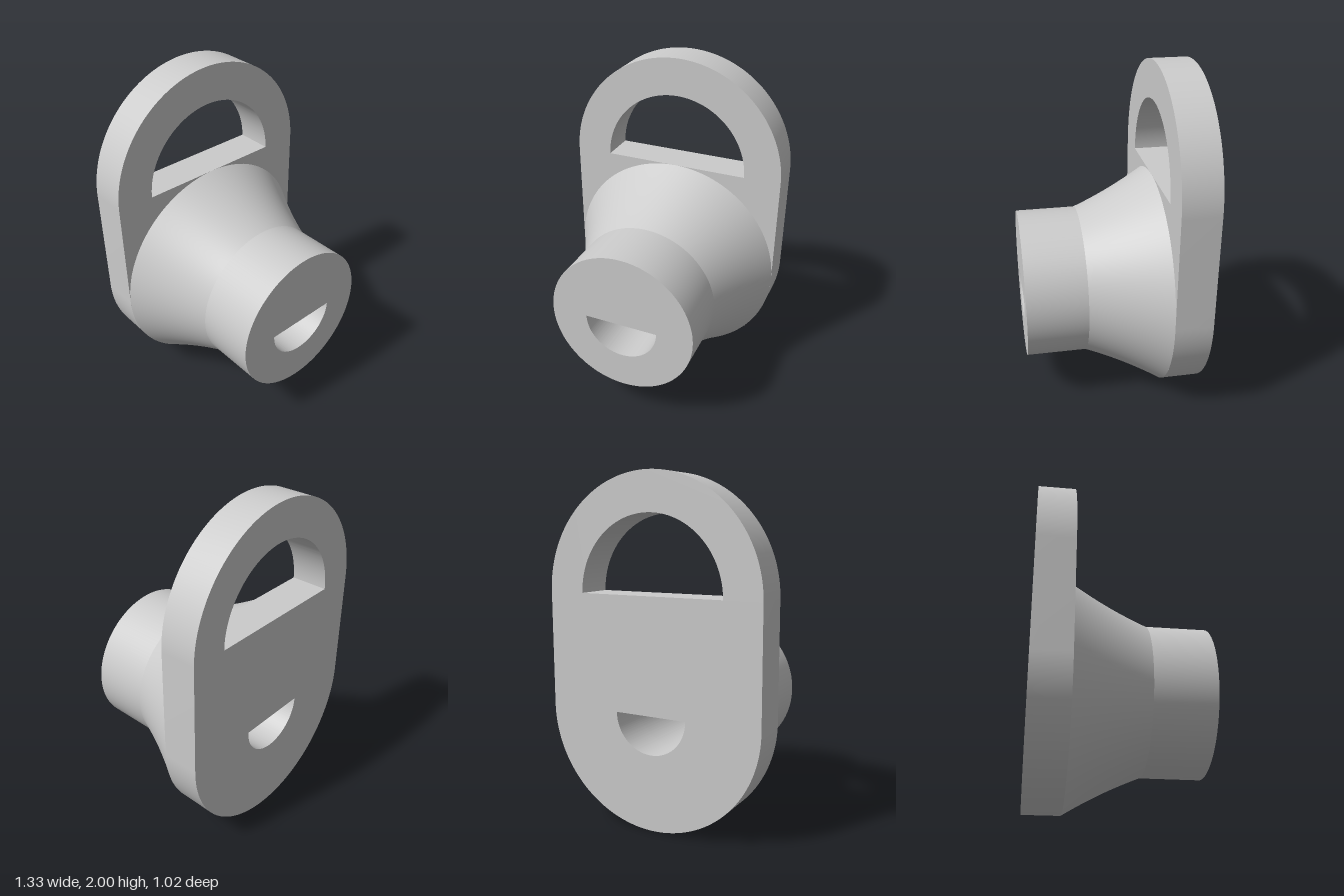
import * as THREE from 'three';
import { toCreasedNormals } from 'three/addons/utils/BufferGeometryUtils.js';

const R = 2 / 3;          // plate end radius, also the flare's wide end
const NECK_R = 4 / 9;
const BORE_R = 2 / 9;
const LOW_Y = R, HIGH_Y = 2 * R;
const BACK = -0.511, PLATE_FRONT = -0.289, NECK_START = 0.156, FRONT = 0.511;

const material = new THREE.MeshStandardMaterial({ color: 0xcccccc });

// Half-disc opening; the flat side lies on y
function halfDisc(y, radius, upper) {
  const path = new THREE.Path();
  const start = upper ? 0 : Math.PI;
  path.absarc(0, y, radius, start, start + Math.PI, false);
  path.closePath();
  return path;
}

// Extrude a shape between two z positions with smooth curves and sharp rims
function slab(name, shape, z0, z1) {
  const extruded = new THREE.ExtrudeGeometry(shape, {
    depth: z1 - z0, bevelEnabled: false, curveSegments: 64,
  });
  const mesh = new THREE.Mesh(toCreasedNormals(extruded, Math.PI / 6), material);
  mesh.name = name;
  mesh.position.z = z0;
  return mesh;
}

export function createModel() {
  const group = new THREE.Group();
  group.name = 'flaredSpoutWithHandle';

  // Back plate: rounded slot outline with handle opening and bore
  const outline = new THREE.Shape();
  outline.absarc(0, HIGH_Y, R, 0, Math.PI, false);
  outline.absarc(0, LOW_Y, R, Math.PI, 2 * Math.PI, false);
  outline.closePath();
  outline.holes.push(halfDisc(HIGH_Y, NECK_R, true), halfDisc(LOW_Y, BORE_R, false));
  group.add(slab('backPlate', outline, BACK, PLATE_FRONT));

  // Neck: round bar carrying the half-round bore through to the plate
  const disc = new THREE.Shape();
  disc.absarc(0, LOW_Y, NECK_R, 0, 2 * Math.PI, false);
  disc.holes.push(halfDisc(LOW_Y, BORE_R, false));
  group.add(slab('neck', disc, PLATE_FRONT, FRONT));

  // Flare: slightly concave transition from plate to neck
  const midZ = (PLATE_FRONT + NECK_START) / 2;
  const profile = new THREE.QuadraticBezierCurve(
    new THREE.Vector2(R, PLATE_FRONT),
    new THREE.Vector2((R + NECK_R) / 2 - 0.026, midZ),
    new THREE.Vector2(NECK_R, NECK_START),
  ).getPoints(16);
  const flare = new THREE.Mesh(new THREE.LatheGeometry(profile, 128), material);
  flare.name = 'flare';
  flare.rotation.x = Math.PI / 2;
  flare.position.y = LOW_Y;
  group.add(flare);

  return group;
}
